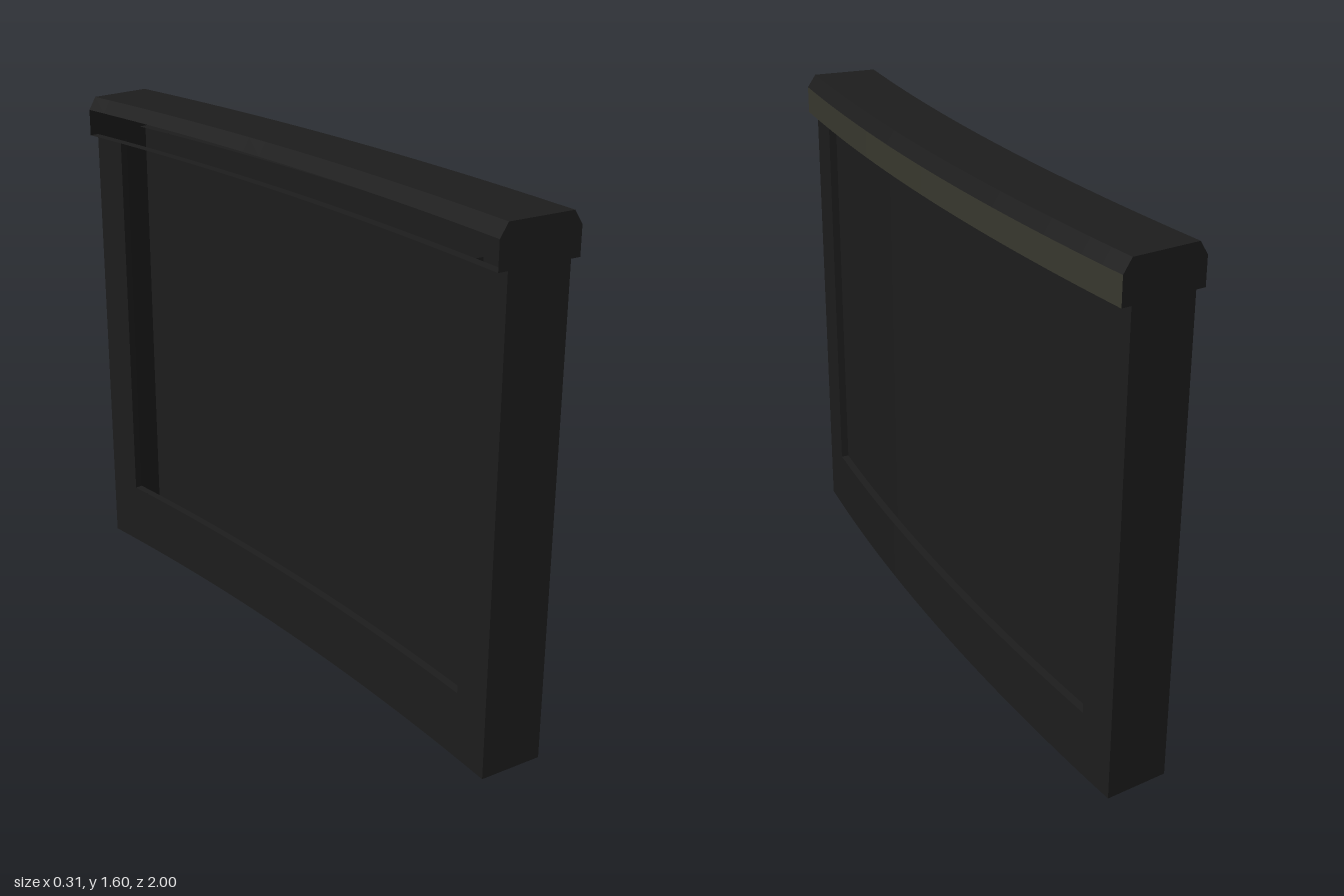
import * as THREE from 'three';

const CENTRE = -9.845;  // x of the arc's centre
const HALF = 0.1002;    // half the arc's angle
const EDGE = 0.0872;    // angle where the recesses end
const TOP = 1.475;      // height where the cap begins

const at = ([r, y], a) => [CENTRE + r * Math.cos(a), y, r * Math.sin(a)];

function fromTriangles(corners) {
  const g = new THREE.BufferGeometry();
  g.setAttribute('position', new THREE.Float32BufferAttribute(corners.flat(), 3));
  g.computeVertexNormals();
  return g;
}

// Sweep an open (radius, height) profile along the arc.
function sweep(profile, a0, a1, segments) {
  const corners = [];
  for (let s = 0; s < segments; s++) {
    const b0 = a0 + ((a1 - a0) * s) / segments;
    const b1 = a0 + ((a1 - a0) * (s + 1)) / segments;
    for (let i = 0; i < profile.length - 1; i++) {
      const p = profile[i], q = profile[i + 1];
      corners.push(at(p, b0), at(q, b0), at(q, b1), at(p, b0), at(q, b1), at(p, b1));
    }
  }
  return fromTriangles(corners);
}

// Fill a convex (radius, height) outline in the radial plane at one angle.
function radialFace(outline, angle, side) {
  const corners = [];
  for (let i = 1; i < outline.length - 1; i++) {
    const [p, q] = side > 0 ? [i, i + 1] : [i + 1, i];
    corners.push(at(outline[0], angle), at(outline[p], angle), at(outline[q], angle));
  }
  return fromTriangles(corners);
}

const rect = (r0, r1, y0, y1) => [[r0, y0], [r1, y0], [r1, y1], [r0, y1]];

export function createModel() {
  const group = new THREE.Group();
  const dark = new THREE.MeshStandardMaterial({ color: 0x1d1d1d, side: THREE.DoubleSide });
  dark.name = 'charcoal';
  const olive = new THREE.MeshStandardMaterial({ color: 0x39392f, side: THREE.DoubleSide });
  olive.name = 'olive grey';

  const add = (name, geometry, material = dark) => {
    const mesh = new THREE.Mesh(geometry, material);
    mesh.name = name;
    group.add(mesh);
  };

  // Hollow wall: bottom rail, closed panel on the outer side, open inner side
  add('bottomRail', sweep([[9.77, 0.21], [9.77, 0], [9.97, 0], [9.97, 0.21]], -HALF, HALF, 24));
  add('recessedPanel', sweep([[9.97, 0.21], [9.945, 0.21], [9.945, TOP]], -EDGE, EDGE, 24));
  add('openingSill', sweep([[9.795, 0.21], [9.77, 0.21]], -EDGE, EDGE, 24));

  // Overhanging cap shell, open along its inner side
  const capTop = [[10, 1.56], [9.973, 1.6], [9.766, 1.6], [9.74, 1.56]];
  add('capTop', sweep(capTop, -HALF, HALF, 24));
  add('outerOverhang', sweep([[9.945, TOP], [10, TOP]], -HALF, HALF, 24));
  add('innerOverhang', sweep([[9.74, TOP], [9.77, TOP]], -HALF, HALF, 24));
  add('capBand', sweep([[10, TOP], [10, 1.56]], -HALF, HALF, 24), olive);

  // Posts, recess jambs and end faces, mirrored
  for (const [label, side] of [['left', 1], ['right', -1]]) {
    const [a0, a1] = side > 0 ? [EDGE, HALF] : [-HALF, -EDGE];
    add(label + 'OuterPost', sweep([[9.97, 0.21], [9.97, TOP]], a0, a1, 2));
    add(label + 'InnerPost', sweep([[9.77, TOP], [9.77, 0.21]], a0, a1, 2));
    add(label + 'OuterJamb', radialFace(rect(9.945, 9.97, 0.21, TOP), side * EDGE, -side));
    add(label + 'InnerJamb', radialFace(rect(9.77, 9.795, 0.21, TOP), side * EDGE, -side));
    add(label + 'WallEnd', radialFace(rect(9.77, 9.97, 0, TOP), side * HALF, side));
    add(label + 'CapEnd', radialFace([[9.74, TOP], [10, TOP], ...capTop], side * HALF, side));
  }

  return group;
}
